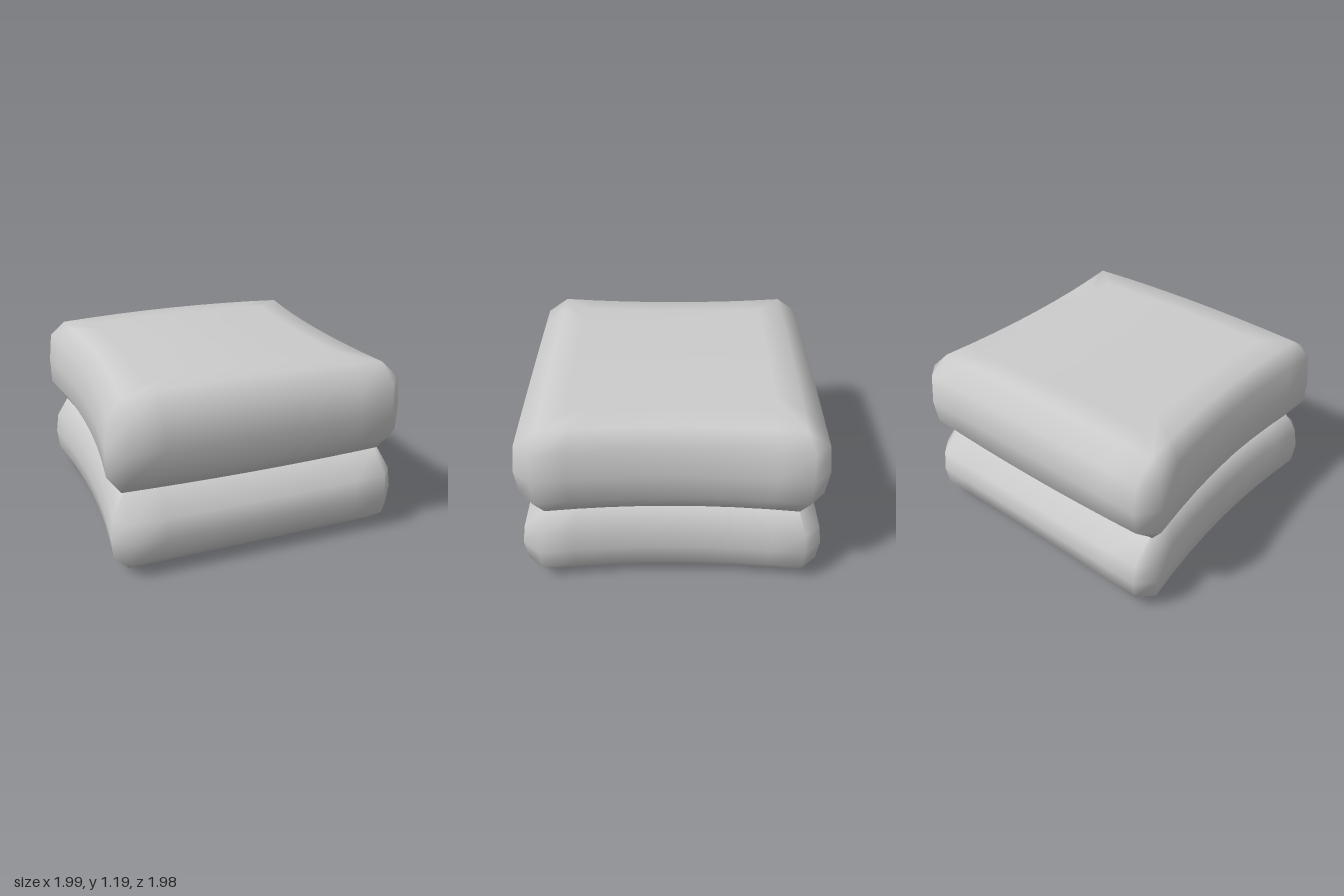
import * as THREE from 'three';
import { mergeVertices } from 'three/addons/utils/BufferGeometryUtils.js';

const CORNER_X = 0.88, CORNER_Z = 0.82, STEPS = 8;

// Half of a rectangular ring with cut corners; the other half is its 180 degree turn.
function ringPoints(X, Z) {
  const sideZ = CORNER_Z + 0.05 * (Z - CORNER_Z) / 0.17;
  const half = [];
  for (let i = 0; i <= STEPS; i++) half.push([CORNER_X * (2 * i / STEPS - 1), Z]);
  for (let i = 0; i <= STEPS; i++) half.push([X, sideZ * (1 - 2 * i / STEPS)]);
  return half.concat(half.map(([x, z]) => [-x, -z]));
}

// Pillow lofted through levels [y, half width, half depth, crown].
function cushion(name, levels) {
  const first = levels[0], last = levels[levels.length - 1];
  const rings = [
    ...[0, 0.4, 0.8].map(s => ({ level: first, s })),
    ...levels.map(level => ({ level, s: 1 })),
    ...[0.8, 0.4, 0].map(s => ({ level: last, s })),
  ];
  const pos = [], index = [];
  let n = 0;
  for (const { level: [y, X, Z, crown], s } of rings) {
    const pts = ringPoints(X, Z);
    n = pts.length;
    for (const [px, pz] of pts) {
      const x = px * s, z = pz * s;
      // sides pinch inwards at mid depth, faces bow at mid width
      const pinch = 1 - 0.065 * Math.max(0, 1 - (z / 0.85) ** 2);
      const bow = crown * Math.max(0, 1 - (x / CORNER_X) ** 2);
      pos.push(x * pinch, y + bow, z);
    }
  }
  for (let r = 0; r < rings.length - 1; r++) {
    for (let i = 0; i < n; i++) {
      const a = r * n + i, b = r * n + (i + 1) % n;
      index.push(a, b, b + n, a, b + n, a + n);
    }
  }
  let geo = new THREE.BufferGeometry();
  geo.setAttribute('position', new THREE.Float32BufferAttribute(pos, 3));
  geo.setIndex(index);
  geo = mergeVertices(geo, 1e-4);
  geo.computeVertexNormals();
  const mesh = new THREE.Mesh(geo, new THREE.MeshStandardMaterial({ color: 0xcccccc }));
  mesh.name = name;
  return mesh;
}

export function createModel() {
  const group = new THREE.Group();
  group.name = 'stackedCushions';
  group.add(
    cushion('lowerCushion', [
      [0, 0.88, 0.82, 0],
      [0.12, 0.975, 0.965, 0.015],
      [0.26, 0.99, 0.985, 0],
      [0.4, 0.97, 0.965, -0.01],
      [0.545, 0.9, 0.82, -0.015],
    ]),
    cushion('upperCushion', [
      [0.545, 0.9, 0.82, -0.015],
      [0.69, 0.995, 0.965, -0.03],
      [0.86, 0.997, 0.99, 0],
      [1.06, 0.975, 0.965, 0.01],
      [1.165, 0.88, 0.82, 0.025],
    ]),
  );
  return group;
}
